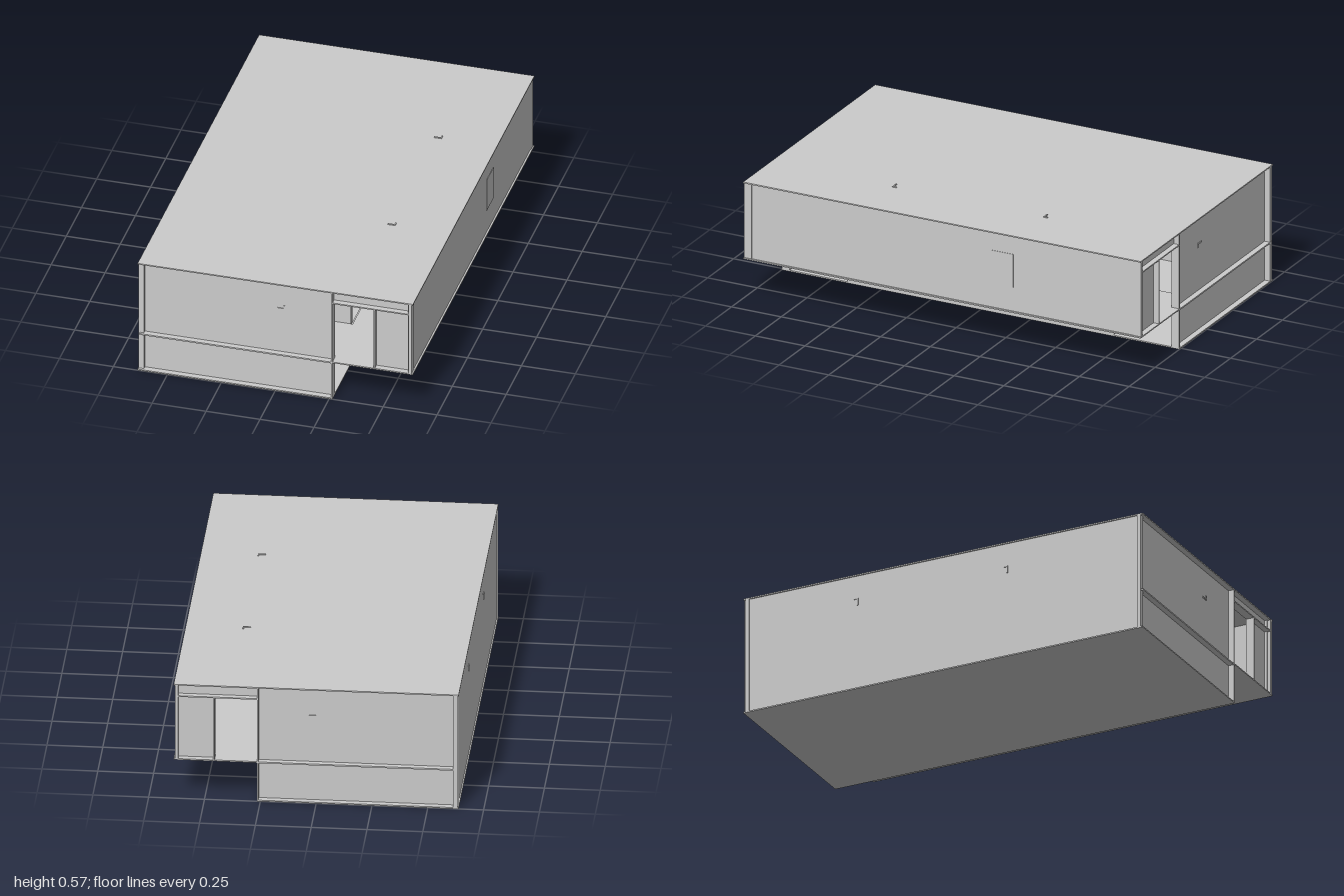
import * as THREE from 'three';

export function createModel() {
  const model = new THREE.Group();
  const grey = new THREE.MeshStandardMaterial({ color: 0xcccccc, flatShading: true, side: THREE.DoubleSide });

  // Box given by its min and max on each axis
  function slab(name, [x0, x1], [y0, y1], [z0, z1], parent = model) {
    const mesh = new THREE.Mesh(new THREE.BoxGeometry(x1 - x0, y1 - y0, z1 - z0), grey);
    mesh.name = name;
    mesh.position.set((x0 + x1) / 2, (y0 + y1) / 2, (z0 + z1) / 2);
    parent.add(mesh);
    return mesh;
  }

  const H = 0.562, STEP = 0.19, DOOR = 0.5, W = 0.638, SPLIT = 0.265, JAMB = 0.455;

  // Roof and the two floor levels
  slab('roof', [-W, W], [H - 0.006, H], [-1, 1]);
  slab('lowerFloor', [-W, SPLIT], [0, 0.006], [-1, 1]);
  slab('raisedFloor', [SPLIT, W], [STEP, STEP + 0.006], [-1, 1]);

  // Long side walls
  slab('leftWall', [-0.632, -0.612], [0, H], [-0.998, 0.985]);
  slab('rightWall', [0.612, 0.63], [STEP, H], [-0.97, 0.985]);
  slab('levelChangeWall', [0.257, SPLIT], [0, STEP], [-0.67, 0.67]);

  // Flush service hatch on the right wall
  slab('sideHatch', [0.63, 0.632], [0.31, 0.47], [-0.355, -0.24]);

  // The two ends mirror each other along z
  for (const s of [1, -1]) {
    const end = new THREE.Group();
    end.name = s > 0 ? 'frontEnd' : 'backEnd';
    model.add(end);
    const part = (name, x, y, a, b) => slab(name, x, y, s > 0 ? [a, b] : [-b, -a], end);

    // Recessed panels
    part('endPanel', [-0.612, SPLIT], [0, H], 0.96, 0.972);
    part('narrowPanel', [JAMB, 0.63], [STEP, DOOR], 0.96, 0.972);
    part('doorHeader', [SPLIT, 0.63], [DOOR, H], 0.96, 0.972);

    // Projecting frame: rails and upright fins
    part('middleRail', [-0.63, SPLIT], [STEP - 0.003, STEP + 0.004], 0.972, 0.999);
    part('headerRail', [SPLIT, 0.63], [DOOR, DOOR + 0.006], 0.972, 0.999);
    part('cornerFin', [-W, -0.612], [0, H], 0.972, 0.988);
    part('splitFin', [0.259, SPLIT], [0, H], 0.96, 0.999);
    part('jambFin', [JAMB, JAMB + 0.006], [STEP, DOOR], 0.96, 0.999);
    part('cornerFin', [0.618, 0.632], [STEP, H], 0.96, 0.999);

    // Stairwell: partition, landing and open treads down to the lower floor
    part('stairPartition', [-0.08, 0.257], [0, H], 0.64, 0.668);
    part('landing', [0.116, SPLIT], [STEP, STEP + 0.006], 0.668, 0.96);
    for (let i = 1; i <= 4; i++) {
      const x = 0.116 - i * 0.04, y = STEP - i * 0.038;
      part('stairTread', [x, x + 0.05], [y, y + 0.005], 0.668, 0.96);
    }
  }

  // Small L-shaped brackets on roof and walls
  function bracket(x, y, z, rx, rz) {
    const g = new THREE.Group();
    g.name = 'bracket';
    slab('bracketArm', [-0.018, 0.018], [0, 0.004], [-0.003, 0.003], g);
    slab('bracketTip', [0.012, 0.018], [0, 0.004], [-0.018, 0.003], g);
    g.position.set(x, y, z);
    g.rotation.set(rx, 0, rz);
    model.add(g);
  }
  for (const z of [0.38, -0.38]) bracket(0.365, H, z, 0, 0);
  bracket(0.02, 0.42, 0.972, Math.PI / 2, 0);
  bracket(0.02, 0.42, -0.972, -Math.PI / 2, 0);
  for (const z of [0.32, -0.43]) bracket(-0.632, 0.43, z, 0, Math.PI / 2);

  return model;
}
